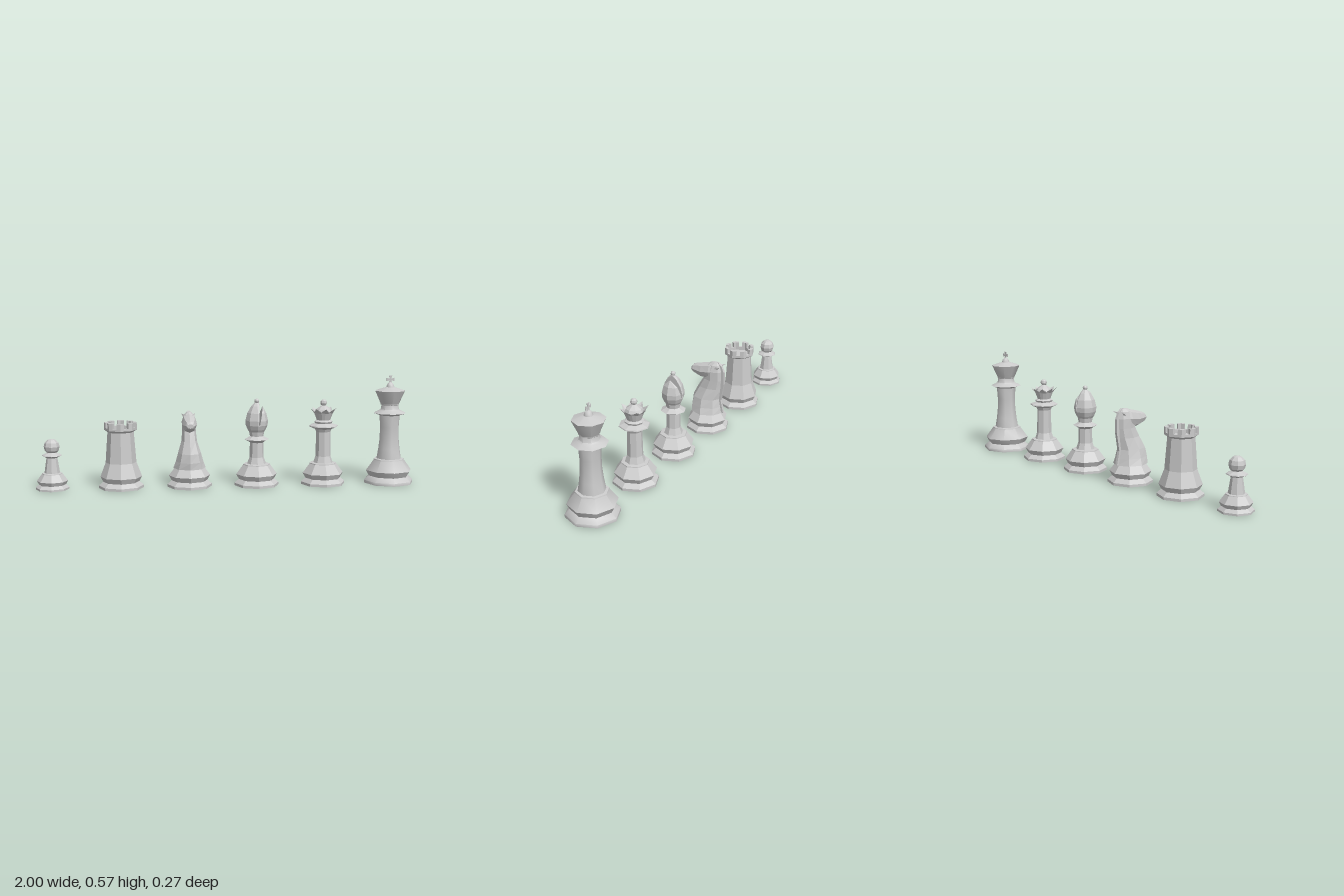
import * as THREE from 'three';
import { toCreasedNormals } from 'three/addons/utils/BufferGeometryUtils.js';
import { ConvexGeometry } from 'three/addons/geometries/ConvexGeometry.js';

const flat = new THREE.MeshStandardMaterial({ color: 0xcccccc, flatShading: true });
const smooth = new THREE.MeshStandardMaterial({ color: 0xcccccc });
const thin = new THREE.MeshStandardMaterial({ color: 0xcccccc, flatShading: true, side: THREE.DoubleSide });

function part(group, name, geometry, material = flat, y = 0) {
  const mesh = new THREE.Mesh(geometry, material);
  mesh.name = name;
  mesh.position.y = y;
  group.add(mesh);
  return mesh;
}

// Turned shape from [radius, height] pairs, eight-sided with corners on the axes
const turned = (pts, sides = 8) =>
  new THREE.LatheGeometry(pts.map(([r, y]) => new THREE.Vector2(r, y)), sides);

// Stepped foot shared by all pieces, scaled by s
const foot = (s) => [[0, 0], [.133, 0], [.133, .015], [.107, .038], [.123, .068], [.082, .124], [.081, .129]]
  .map(([r, y]) => [r * s, y * s]);

const ball = (r) => new THREE.SphereGeometry(r, 8, 6);

// Capped loft of octagons; each ring is [height, zMin, zMax, halfWidth]
function loft(rings) {
  const n = 8, pos = [], idx = [];
  for (const [y, z0, z1, w] of rings) {
    for (let j = 0; j < n; j++) {
      const a = j / n * Math.PI * 2;
      pos.push(w * Math.sin(a), y, (z0 + z1) / 2 + (z1 - z0) / 2 * Math.cos(a));
    }
  }
  for (let i = 0; i < rings.length - 1; i++) {
    for (let j = 0; j < n; j++) {
      const a = i * n + j, b = i * n + (j + 1) % n;
      idx.push(a, b, b + n, a, b + n, a + n);
    }
  }
  const top = (rings.length - 1) * n;
  for (let j = 1; j < n - 1; j++) idx.push(0, j + 1, j, top, top + j, top + j + 1);
  const g = new THREE.BufferGeometry();
  g.setAttribute('position', new THREE.Float32BufferAttribute(pos, 3));
  g.setIndex(idx);
  g.computeVertexNormals();
  return g;
}

function pawn(g) {
  part(g, 'pawnBody', turned([...foot(.65), [.04, .086], [.028, .165], [.052, .176], [.05, .18], [.028, .19], [.02, .2], [0, .2]]));
  part(g, 'pawnHead', ball(.041), flat, .223);
}

function rook(g) {
  part(g, 'rookBody', turned([...foot(.88).slice(0, 5), [.08, .135], [.068, .295], [.084, .306], [.084, .318], [.066, .318], [.066, .3], [0, .3]]));
  // One bent merlon on each corner of the rim
  const k = Math.SQRT1_2, R = .084, r = .066, t = .32;
  const side = (q, s) => [q + (q * k - q) * t, s * q * k * t];
  const shape = new THREE.Shape([side(R, -1), [R, 0], side(R, 1), side(r, 1), [r, 0], side(r, -1)]
    .map(([x, y]) => new THREE.Vector2(x, y)));
  for (let i = 0; i < 8; i++) {
    const geo = new THREE.ExtrudeGeometry(shape, { depth: .03, bevelEnabled: false });
    geo.rotateX(-Math.PI / 2).rotateY(i * Math.PI / 4);
    part(g, 'rookMerlon', geo, flat, .315);
  }
}

function knight(g) {
  part(g, 'knightBase', turned([...foot(.88), [0, .114]]));
  part(g, 'knightBody', loft([
    [.1, -.092, .092, .085], [.135, -.085, .094, .072], [.18, -.077, .087, .06], [.24, -.086, .055, .041],
    [.29, -.09, .025, .036], [.34, -.09, .02, .036], [.375, -.08, 0, .026], [.39, -.07, -.025, .01]]));
  // Head runs forward to the muzzle: built upright, then tipped over
  const head = loft([[-.07, -.38, -.31, .026], [-.02, -.385, -.29, .04], [.03, -.372, -.288, .038],
    [.065, -.362, -.3, .03], [.085, -.355, -.308, .025], [.095, -.342, -.318, .018]]);
  part(g, 'knightHead', head.rotateX(Math.PI / 2));
  // Thin mane ridge along the back of the neck
  const mane = new THREE.Shape([[-.1, .103], [-.084, .175], [-.101, .27], [-.101, .34], [-.086, .374], [-.065, .392],
    [-.04, .385], [-.06, .33], [-.06, .27], [-.05, .18], [-.06, .103]].map(([z, y]) => new THREE.Vector2(-z, y)));
  const maneGeo = new THREE.ExtrudeGeometry(mane, { depth: .014, bevelEnabled: false });
  part(g, 'knightMane', maneGeo.translate(0, 0, -.007).rotateY(Math.PI / 2));
  // Ears sweep back and outward
  for (const s of [-1, 1]) {
    const ear = new THREE.ConeGeometry(.012, .05, 4);
    const mesh = part(g, 'knightEar', ear);
    mesh.position.set(s * .026, .367, -.07);
    mesh.quaternion.setFromUnitVectors(new THREE.Vector3(0, 1, 0), new THREE.Vector3(s * .45, .35, -.8).normalize());
  }
}

function bishop(g) {
  part(g, 'bishopBody', turned([...foot(.88), [.05, .116], [.038, .15], [.036, .228], [.045, .235], [.066, .245],
    [.048, .254], [.036, .262], [.04, .285], [.048, .297], [.058, .32], [0, .32]]));
  // Upper mitre, split by a leaning slot into two lobes
  const profile = [[.058, .32], [.06, .345], [.05, .385], [.03, .42], [.012, .438]];
  const lobe = (keep, cut) => {
    const pts = [];
    for (const [r, y] of profile) {
      const c = cut(y);
      const ring = Array.from({ length: 8 }, (_, i) =>
        new THREE.Vector3(r * Math.sin(i * Math.PI / 4), y, r * Math.cos(i * Math.PI / 4)));
      ring.forEach((p, i) => {
        const q = ring[(i + 1) % 8];
        if ((p.x - c) * keep >= 0) pts.push(p);
        if ((p.x - c) * (q.x - c) < 0) pts.push(p.clone().lerp(q, (c - p.x) / (q.x - p.x)));
      });
    }
    return new ConvexGeometry(pts);
  };
  part(g, 'bishopMitre', lobe(-1, (y) => .004 + (y - .32) * .07));
  part(g, 'bishopMitreLobe', lobe(1, (y) => .01 + (y - .32) * .2));
  part(g, 'bishopFinial', ball(.013), flat, .447);
}

function queen(g) {
  part(g, 'queenBody', turned([...foot(.88), [.052, .116], [.041, .15], [.038, .28], [.045, .295], [.078, .309],
    [.076, .314], [.045, .325], [.05, .335], [.036, .343], [.048, .385], [.04, .4], [.012, .42], [0, .421]]));
  // Crown wall: every second rim corner drops to leave eight points
  const crown = turned([[.036, .343], [.05, .38], [.072, .406]], 16);
  const p = crown.attributes.position;
  for (let i = 1; i <= 16; i += 2) {
    const v = i * 3 + 2;
    p.setXYZ(v, p.getX(v) * .75, .388, p.getZ(v) * .75);
  }
  part(g, 'queenCrown', crown, thin);
  part(g, 'queenFinial', ball(.018), flat, .434);
}

function king(g) {
  const body = turned([...foot(1), [.067, .131], [.058, .185], [.052, .24], [.051, .3], [.055, .363], [.06, .366],
    [.088, .375], [.06, .388], [.05, .395], [.046, .418], [.05, .421], [.05, .425], [.081, .494], [.022, .513],
    [.019, .523], [.013, .533], [.003, .54], [0, .54]]);
  part(g, 'kingBody', toCreasedNormals(body, .82), smooth);
  // Flared cross, thin front to back
  const arm = [[.004, .003], [.009, .02], [-.009, .02], [-.004, .003]];
  const pts = [];
  for (let i = 0; i < 4; i++) {
    const c = Math.round(Math.cos(i * Math.PI / 2)), s = Math.round(Math.sin(i * Math.PI / 2));
    for (const [x, y] of arm) pts.push(new THREE.Vector2(x * c - y * s, x * s + y * c));
  }
  const cross = new THREE.ExtrudeGeometry(new THREE.Shape(pts), { depth: .004, bevelEnabled: false });
  part(g, 'kingCross', cross.translate(0, 0, -.002), flat, .553);
}

export function createModel() {
  const model = new THREE.Group();
  model.name = 'chessPieces';
  const row = { pawn: [pawn, -.914], rook: [rook, -.559], knight: [knight, -.202],
    bishop: [bishop, .153], queen: [queen, .509], king: [king, .867] };
  for (const [name, [build, x]] of Object.entries(row)) {
    const g = new THREE.Group();
    g.name = name;
    g.position.x = x;
    build(g);
    model.add(g);
  }
  return model;
}
